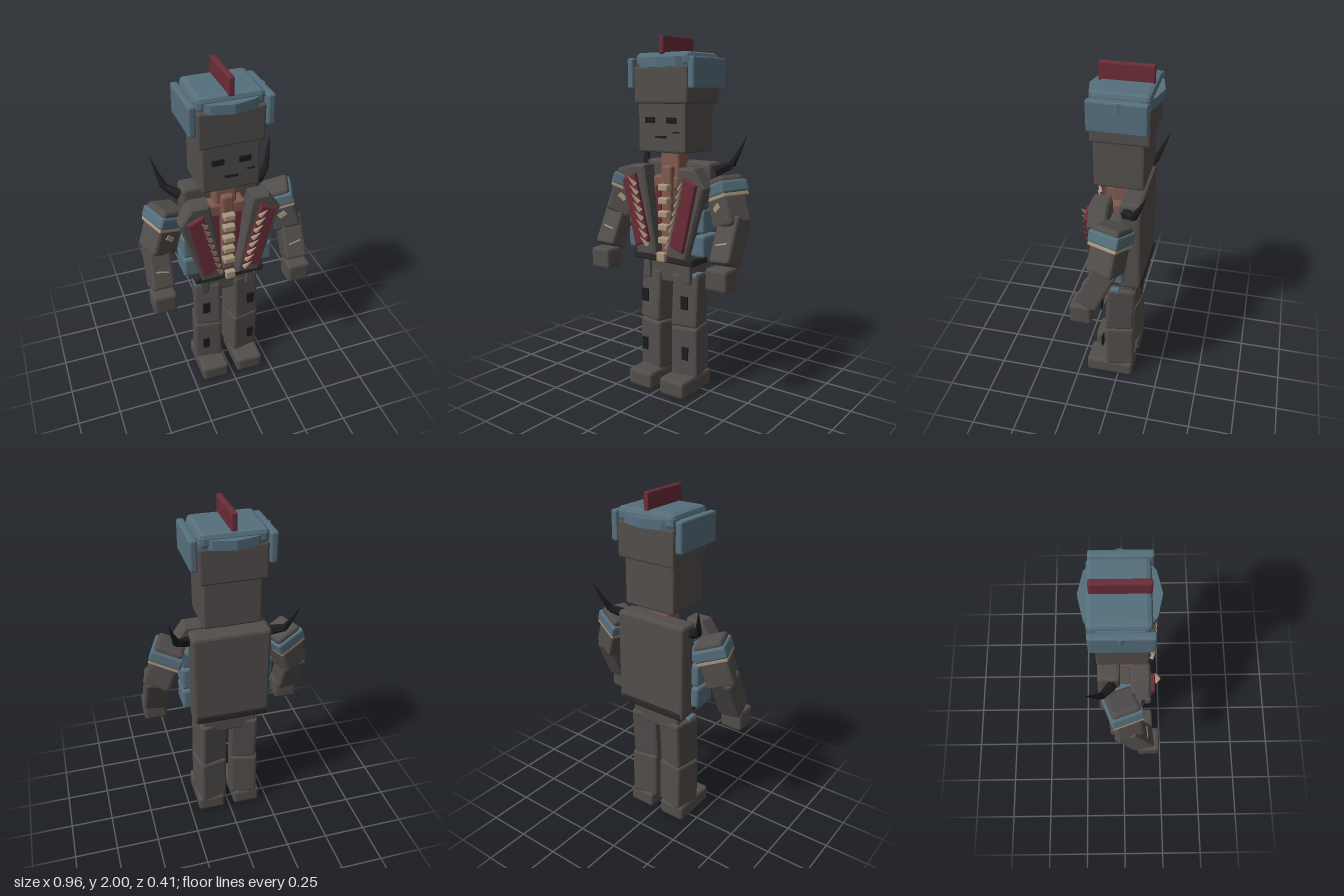
import * as THREE from 'three';
import { RoundedBoxGeometry } from 'three/addons/geometries/RoundedBoxGeometry.js';

const mat = (name, color) => {
  const m = new THREE.MeshStandardMaterial({ color });
  m.name = name;
  return m;
};

export function createModel() {
  const root = new THREE.Group();
  const M = {
    gray: mat('charcoal cloth', 0x524e4c),
    blue: mat('steel blue', 0x566f7d),
    red: mat('dark red', 0x6a2c37),
    bone: mat('bone', 0xa8957c),
    skin: mat('skin', 0x80594f),
    black: mat('black', 0x1d1c1c),
    belt: mat('belt leather', 0x2a2828),
  };

  const add = (parent, name, geo, m) => {
    let g = geo.index ? geo.toNonIndexed() : geo;
    g.computeVertexNormals(); // faceted look
    const mesh = new THREE.Mesh(g, m);
    mesh.name = name;
    parent.add(mesh);
    return mesh;
  };

  // Chamfered box given by its ranges on each axis
  const box = (parent, name, m, [x0, x1], [y0, y1], [z0, z1], bevel = 0.012) => {
    const w = x1 - x0, h = y1 - y0, d = z1 - z0;
    const geo = bevel > 0 ? new RoundedBoxGeometry(w, h, d, 1, Math.min(bevel, w / 3, h / 3, d / 3))
      : new THREE.BoxGeometry(w, h, d);
    const mesh = add(parent, name, geo, m);
    mesh.position.set((x0 + x1) / 2, (y0 + y1) / 2, (z0 + z1) / 2);
    return mesh;
  };

  // Flat outline in the xy plane, extruded from z0 to z1
  const plate = (parent, name, m, pts, z0, z1, bevel = 0) => {
    const shape = new THREE.Shape(pts.map(([x, y]) => new THREE.Vector2(x, y)));
    const geo = new THREE.ExtrudeGeometry(shape, {
      depth: z1 - z0 - 2 * bevel, bevelEnabled: bevel > 0, bevelSegments: 1,
      bevelSize: bevel, bevelThickness: bevel, bevelOffset: -bevel,
    });
    geo.translate(0, 0, z0 + bevel);
    return add(parent, name, geo, m);
  };

  // Group whose y axis runs from a to b, turned by yaw about that axis
  const limb = (parent, name, a, b, yaw) => {
    const g = new THREE.Group();
    const va = new THREE.Vector3(...a), vb = new THREE.Vector3(...b);
    const dir = va.clone().sub(vb).normalize();
    g.quaternion.setFromUnitVectors(new THREE.Vector3(0, 1, 0), dir);
    g.rotateY(yaw);
    g.position.copy(va).add(vb).multiplyScalar(0.5);
    g.name = name;
    parent.add(g);
    return g;
  };

  // Tapered segment between two points
  const taper = (parent, name, m, a, b, ra, rb) => {
    const len = new THREE.Vector3(...a).distanceTo(new THREE.Vector3(...b));
    const g = limb(parent, name, a, b, 0);
    add(g, name + 'Segment', new THREE.CylinderGeometry(ra, rb, len, 6), m);
  };

  // Head and face
  const head = new THREE.Group();
  head.name = 'head';
  root.add(head);
  box(head, 'skull', M.gray, [-0.16, 0.16], [1.375, 1.7], [-0.14, 0.13]);
  for (const s of [-1, 1]) {
    box(head, 'eye', M.black, [s * 0.074 - 0.032, s * 0.074 + 0.032], [1.535, 1.567], [0.131, 0.14], 0);
  }
  box(head, 'mouth', M.black, [-0.036, 0.036], [1.455, 1.467], [0.131, 0.14], 0);
  box(head, 'cheekScar', M.black, [0.085, 0.127], [1.484, 1.491], [0.131, 0.139], 0);

  // Helmet
  const helmet = new THREE.Group();
  helmet.name = 'helmet';
  root.add(helmet);
  box(helmet, 'helmetBand', M.gray, [-0.18, 0.18], [1.64, 1.84], [-0.17, 0.142]);
  const brim = add(helmet, 'brim', new THREE.CylinderGeometry(0.23, 0.23, 0.05, 12), M.blue);
  brim.scale.z = 0.84;
  brim.position.set(0, 1.857, -0.015);
  box(helmet, 'dome', M.blue, [-0.18, 0.18], [1.83, 1.912], [-0.17, 0.13], 0.025);
  box(helmet, 'crest', M.red, [-0.016, 0.016], [1.9, 2], [-0.157, 0.13], 0.008);
  for (const s of [-1, 1]) {
    const x = [0.185, 0.225].map(v => v * s).sort((a, b) => a - b);
    box(helmet, 'sideFlap', M.blue, x, [1.72, 1.885], [-0.165, 0.145], 0.01);
  }

  // Torso core, neck and spine
  const torso = new THREE.Group();
  torso.name = 'torso';
  root.add(torso);
  box(torso, 'neck', M.skin, [-0.063, 0.063], [1.15, 1.4], [-0.05, 0.055]);
  box(torso, 'chest', M.skin, [-0.11, 0.11], [0.78, 1.24], [-0.03, 0.065]);
  box(torso, 'sternum', M.skin, [-0.035, 0.035], [0.78, 1.3], [0.03, 0.09]);
  box(torso, 'jacketBack', M.gray, [-0.222, 0.222], [0.755, 1.32], [-0.14, -0.02], 0.018);
  box(torso, 'jacketCore', M.gray, [-0.2, 0.2], [0.77, 1.2], [-0.03, 0.04]);
  for (const y of [1.18, 1.105, 1.03, 0.955, 0.88]) {
    box(torso, 'vertebra', M.bone, [-0.033, 0.033], [y - 0.019, y + 0.019], [0.07, 0.125], 0.007);
  }
  box(torso, 'belt', M.belt, [-0.208, 0.208], [0.755, 0.802], [-0.146, 0.125], 0.01);
  box(torso, 'buckle', M.bone, [-0.03, 0.03], [0.762, 0.815], [0.11, 0.145], 0.007);
  box(torso, 'hips', M.gray, [-0.16, 0.16], [0.63, 0.77], [-0.09, 0.075]);

  // Mirrored parts: s = -1 is the model's right, s = 1 its left
  for (const s of [-1, 1]) {
    const side = s < 0 ? 'right' : 'left';
    const span = (a, b) => (s > 0 ? [a, b] : [-b, -a]);
    const P = (x, y, z) => [s * x, y, z];
    const mir = pts => (s > 0 ? pts : pts.map(([x, y]) => [-x, y]).reverse());

    // Jacket front, lapel and its teeth
    const front = new THREE.Group();
    front.name = side + 'JacketFront';
    torso.add(front);
    plate(front, 'frontPanel', M.gray,
      mir([[0.29, 1.2], [0.22, 1.3], [0.12, 1.3], [0.035, 0.79], [0.17, 0.785]]), 0.035, 0.142, 0.012);
    plate(front, 'lining', M.red, mir([[0.085, 1.18], [0.05, 1.18], [0.034, 0.8], [0.06, 0.8]]), 0.06, 0.075);
    plate(front, 'lapel', M.red, mir([[0.252, 1.215], [0.165, 1.255], [0.068, 0.875], [0.165, 0.835]]), 0.138, 0.166, 0.006);
    for (let i = 0; i < 8; i++) {
      const t = i / 7, x = 0.155 - 0.085 * t, y = 1.19 - 0.335 * t;
      taper(front, 'tooth', M.bone, P(x + 0.035, y + 0.05, 0.195), P(x, y, 0.17), 0.001, 0.015);
    }

    // Padded ribs on the flank
    for (const [y0, y1] of [[0.81, 0.935], [0.945, 1.08], [1.09, 1.19]]) {
      box(torso, side + 'FlankPad', M.blue, span(0.17, 0.265), [y0, y1], [-0.05, 0.1], 0.015);
    }

    // Upper arm with shoulder guard
    const upper = limb(root, side + 'UpperArm', P(0.305, 1.26, -0.015), P(0.395, 0.99, 0.015), -s * 0.35);
    box(upper, 'sleeve', M.gray, [-0.08, 0.08], [-0.14, 0.13], [-0.08, 0.08], 0.018);
    box(upper, 'shoulderGuard', M.blue, [-0.092, 0.092], [0.03, 0.1], [-0.092, 0.092], 0.012);
    box(upper, 'guardTrim', M.bone, [-0.087, 0.087], [0.012, 0.035], [-0.087, 0.087], 0.005);
    const patch = box(upper, 'sleevePatch', M.bone, [-0.025, 0.025], [-0.045, -0.015], [0.079, 0.085], 0);
    patch.rotation.z = s * 0.4;

    // Forearm and hand
    const fore = limb(root, side + 'Forearm', P(0.4, 1.045, -0.005), P(0.407, 0.79, 0.115), -s * 0.1);
    box(fore, 'lowerSleeve', M.gray, [-0.065, 0.065], [-0.135, 0.135], [-0.067, 0.067], 0.016);
    box(fore, 'forearmScar', M.bone, [-0.035, 0.035], [-0.038, -0.03], [0.064, 0.07], 0).rotation.z = s * 0.2;
    box(root, side + 'Hand', M.gray, span(0.34, 0.474), [0.672, 0.795], [0.08, 0.203], 0.016);

    // Horn on the shoulder
    const horn = [P(0.23, 1.27, -0.06), P(0.3, 1.305, -0.115), P(0.325, 1.375, -0.15), P(0.35, 1.462, -0.19)];
    const radii = [0.03, 0.021, 0.012, 0.001];
    for (let i = 0; i < 3; i++) taper(root, side + 'Horn', M.black, horn[i], horn[i + 1], radii[i], radii[i + 1]);

    // Leg
    const thigh = limb(root, side + 'Thigh', P(0.106, 0.69, -0.01), P(0.106, 0.38, 0.01), s * 0.22);
    box(thigh, 'thighCloth', M.gray, [-0.08, 0.08], [-0.155, 0.155], [-0.084, 0.084], 0.016);
    const shin = limb(root, side + 'Shin', P(0.108, 0.385, 0.003), P(0.108, 0.085, 0), s * 0.18);
    box(shin, 'shinCloth', M.gray, [-0.083, 0.083], [-0.15, 0.15], [-0.086, 0.086], 0.016);
    box(root, side + 'ThighPatch', M.black, span(0.118, 0.162), [0.5, 0.575], [0.102, 0.11], 0);
    box(root, side + 'ShinPatch', M.black, span(0.125, 0.165), [0.2, 0.275], [0.1, 0.109], 0);
    box(root, side + 'Boot', M.gray, span(0.03, 0.197), [0, 0.1], [-0.09, 0.2], 0.018);

    // Straps hanging from the hips
    box(root, side + 'HipStrap', M.gray, span(0.115, 0.165), [0.64, 0.76], [0.06, 0.09], 0.008);
    box(root, side + 'HipPouch', M.blue, span(0.15, 0.19), [0.66, 0.7], [-0.01, 0.06], 0.008);
  }
  return root;
}
